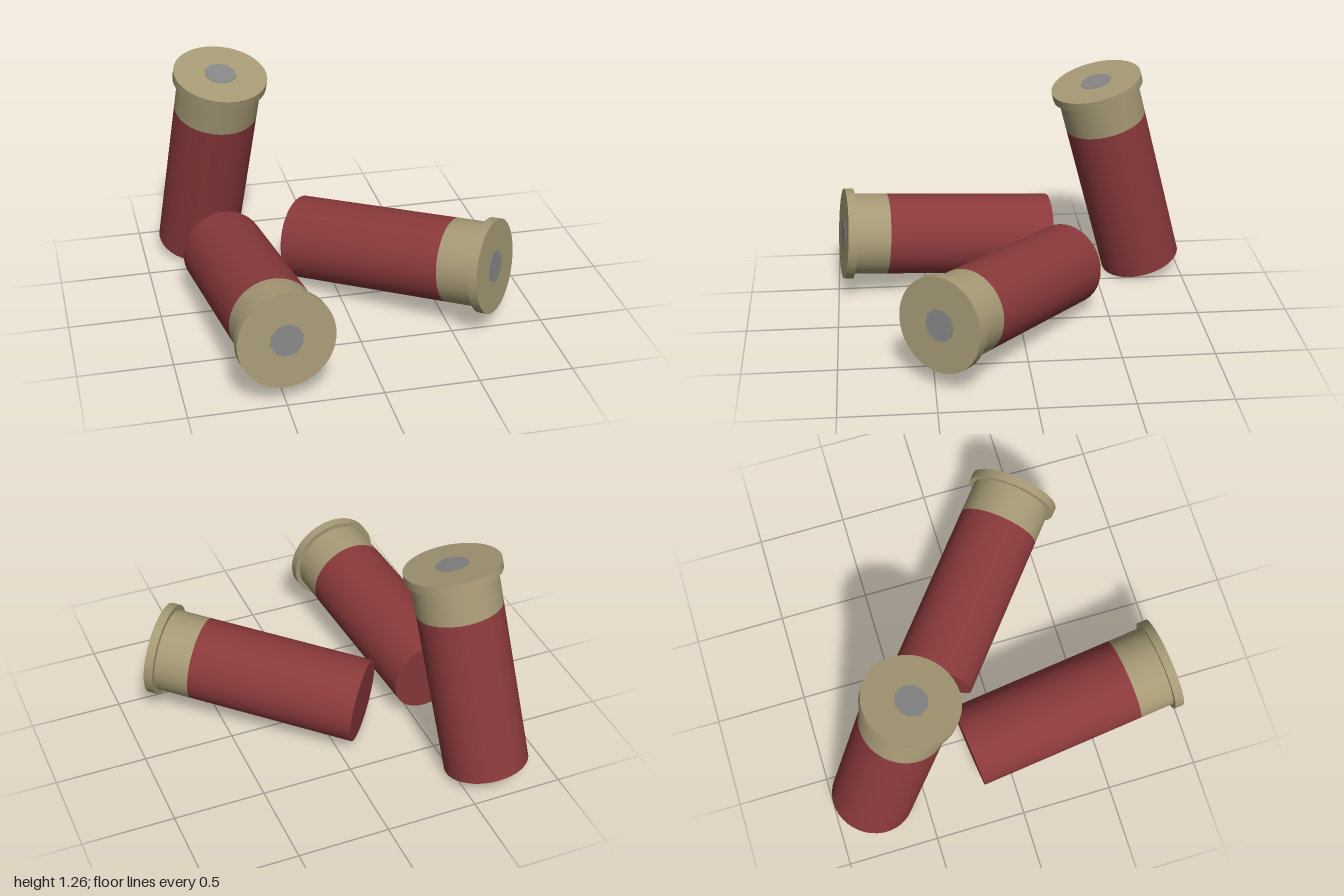
import * as THREE from 'three';

const plastic = new THREE.MeshStandardMaterial({ color: 0x8a393b });
plastic.name = 'red plastic';
const brass = new THREE.MeshStandardMaterial({ color: 0xa69975 });
brass.name = 'dull brass';
const steel = new THREE.MeshStandardMaterial({ color: 0x868686 });
steel.name = 'grey primer metal';

const LENGTH = 1.175, RADIUS = 0.229, RIM_RADIUS = 0.257;
const BRASS_START = 0.933, RIM_START = 1.125;

// Cylinder between two heights along the shell axis
function section(name, radius, from, to, material, sides = 40) {
  const geometry = new THREE.CylinderGeometry(radius, radius, to - from, sides);
  geometry.translate(0, (from + to) / 2, 0);
  const mesh = new THREE.Mesh(geometry, material);
  mesh.name = name;
  return mesh;
}

// One shell running from its mouth to the centre of its head face
function shell(name, mouth, head) {
  const group = new THREE.Group();
  group.name = name;
  group.add(
    section('tube', RADIUS, 0, BRASS_START, plastic),
    section('brassBase', RADIUS, BRASS_START, RIM_START, brass),
    section('rim', RIM_RADIUS, RIM_START, LENGTH, brass),
    section('primer', 0.088, LENGTH - 0.002, LENGTH + 0.003, steel, 10)
  );
  const start = new THREE.Vector3(...mouth);
  const axis = new THREE.Vector3(...head).sub(start).normalize();
  group.position.copy(start);
  group.quaternion.setFromUnitVectors(new THREE.Vector3(0, 1, 0), axis);
  return group;
}

export function createModel() {
  const model = new THREE.Group();
  model.name = 'shotgunShells';
  model.add(
    shell('standingShell', [-0.675, 0.061, -0.777], [-0.555, 1.195, -0.48]),
    shell('frontShell', [-0.612, 0.255, -0.205], [-0.488, 0.35, 0.967]),
    shell('leftShell', [-0.165, 0.255, -0.275], [0.735, 0.35, 0.472])
  );
  return model;
}
